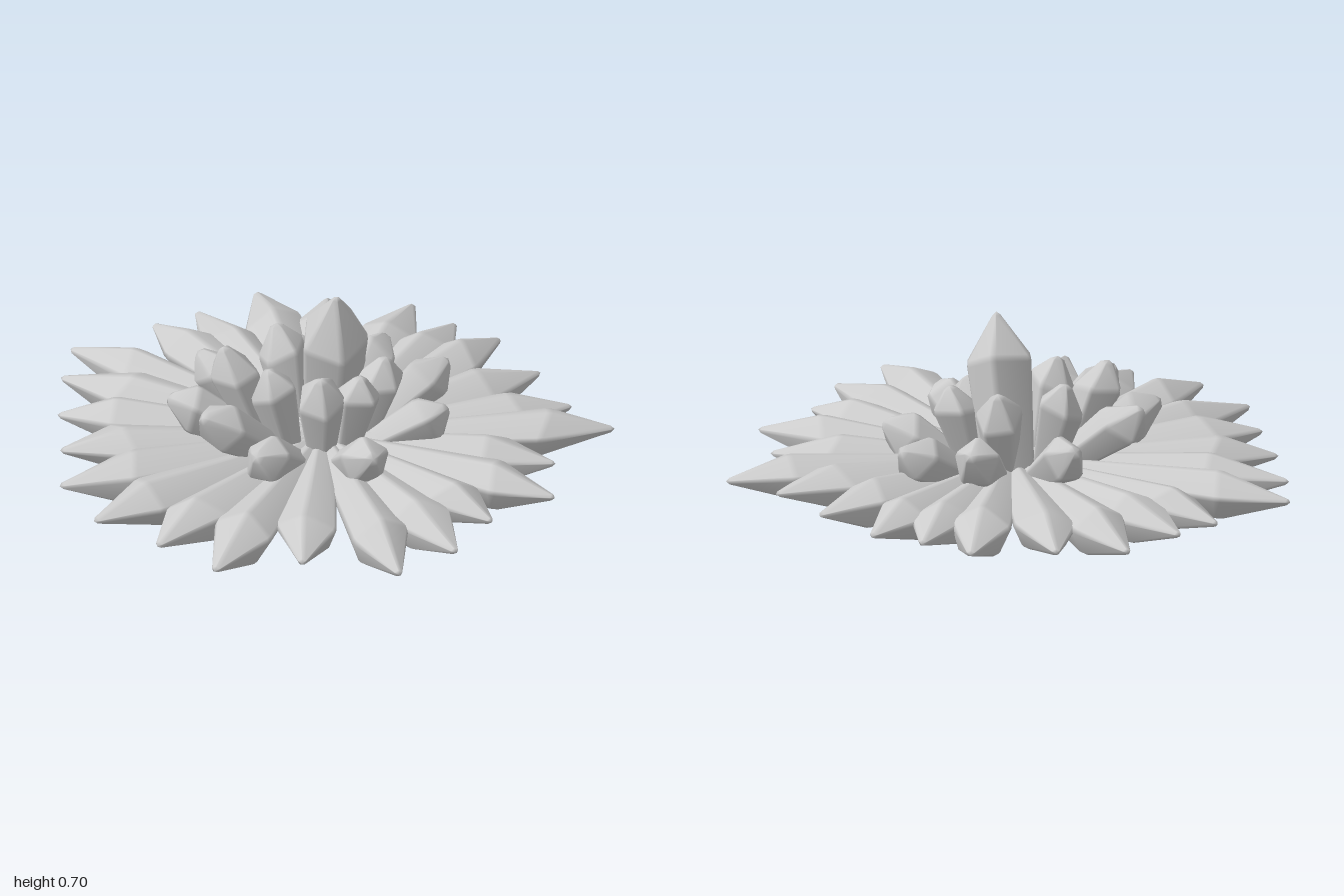
import * as THREE from 'three';
import { mergeVertices } from 'three/addons/utils/BufferGeometryUtils.js';

const material = new THREE.MeshStandardMaterial({ color: 0xcccccc });
const SIDE = Math.PI * 2 / 5;

// Five-sided crystal with softened edges: narrow base, wide slanted shoulder, blunted tip.
// Local y runs along the crystal and one ridge (local z) faces up.
function crystal(name, base, tip, { rBase, rShoulder, shoulder, blunt, slant, phase, roll, wide = 1, flat = 1 }) {
  const from = new THREE.Vector3(...base);
  const axis = new THREE.Vector3(...tip).sub(from);
  const length = axis.length();
  const bevel = 0.012;
  const profile = [
    [0, 0], [rBase * 0.85, 0], [rBase, bevel],
    [rShoulder * 0.98, length * shoulder - bevel], [rShoulder * 0.95, length * shoulder + bevel],
    [rShoulder * blunt, length - bevel], [0, length],
  ].map(([r, y]) => new THREE.Vector2(r, y));
  let geometry = new THREE.LatheGeometry(profile, 10, -SIDE / 4);

  // Squeeze pairs of sides into bevelled corners, and slant the shoulder
  const p = geometry.attributes.position;
  for (let i = 0; i < p.count; i++) {
    const r = Math.hypot(p.getX(i), p.getZ(i));
    const angle = Math.atan2(p.getX(i), p.getZ(i));
    const corner = Math.round(angle / SIDE) * SIDE;
    const a = corner + (angle - corner) * 0.35;
    const ring = i % profile.length;
    const shift = ring === 3 || ring === 4 ? slant * Math.sin(corner + phase) : 0;
    p.setXYZ(i, r * Math.sin(a + roll) * wide, p.getY(i) + shift, r * Math.cos(a + roll) * flat);
  }

  // Share vertices so that the shading runs softly over the bevels
  geometry.deleteAttribute('normal');
  geometry.deleteAttribute('uv');
  geometry = mergeVertices(geometry, 1e-5);

  const y = axis.normalize();
  const x = new THREE.Vector3().crossVectors(y, new THREE.Vector3(0, 1, 0)).normalize();
  const z = new THREE.Vector3().crossVectors(x, y);
  geometry.applyMatrix4(new THREE.Matrix4().makeBasis(x, y, z).setPosition(from));
  geometry.computeVertexNormals();

  const mesh = new THREE.Mesh(geometry, material);
  mesh.name = name;
  return mesh;
}

function ring(name, items, build) {
  const group = new THREE.Group();
  group.name = name;
  items.forEach((item, i) => group.add(build(item, i)));
  return group;
}

export function createModel() {
  const model = new THREE.Group();
  model.name = 'crystalCluster';
  const centreX = -0.05;

  // Flat outer ring: tip x, tip z
  const petalRing = ring('petalRing', [
    [-0.24, -1], [0, -0.95], [0.29, -0.9], [0.43, -0.76], [0.58, -0.65], [0.71, -0.41],
    [0.81, -0.17], [0.95, -0.01], [0.74, 0.23], [0.73, 0.47], [0.51, 0.63], [0.38, 0.84],
    [0.18, 0.99], [-0.15, 0.9], [-0.45, 0.94], [-0.64, 0.76], [-0.85, 0.58], [-0.96, 0.33],
    [-0.95, 0.08], [-0.95, -0.17], [-0.93, -0.43], [-0.89, -0.63], [-0.6, -0.79], [-0.45, -0.87],
  ], ([x, z], i) => crystal('petalCrystal', [centreX, 0.15, 0], [x, 0.17, z], {
    rBase: 0.045, rShoulder: 0.085 + 0.018 * Math.hypot(x, z), shoulder: 0.75, blunt: 0.13,
    slant: 0.035, phase: i * 2.1, roll: 0.15 * Math.sin(i * 3.1), wide: 1.08, flat: 0.82,
  }));

  // Raised middle ring: tip x, y, z
  const middleRing = ring('middleRing', [
    [-0.18, 0.34, -0.44], [0.18, 0.34, -0.4], [0.39, 0.32, -0.25], [0.38, 0.31, 0.08],
    [0.11, 0.31, 0.43], [-0.29, 0.32, 0.42], [-0.47, 0.39, 0.26], [-0.58, 0.34, 0.02],
    [-0.47, 0.39, -0.21],
  ], ([x, y, z], i) => crystal('middleCrystal', [centreX + (x - centreX) * 0.15, 0.08, z * 0.15], [x, y, z], {
    rBase: 0.035, rShoulder: 0.085, shoulder: 0.8, blunt: 0.3,
    slant: 0.025, phase: i * 2.1, roll: 0.3 * Math.sin(i * 3.1),
  }));

  // Steep inner ring: tip x, y, z
  const innerRing = ring('innerRing', [
    [-0.2, 0.5, -0.2], [0.04, 0.48, -0.2], [0.17, 0.46, -0.02], [0.08, 0.45, 0.1],
    [-0.06, 0.47, 0.15], [-0.24, 0.49, 0.11], [-0.39, 0.51, -0.02],
  ], ([x, y, z], i) => crystal('innerCrystal', [centreX + (x - centreX) * 0.45, 0.02, z * 0.45], [x, y, z], {
    rBase: 0.03, rShoulder: 0.083, shoulder: 0.8, blunt: 0.3,
    slant: 0.025, phase: i * 1.9, roll: 0.4 * Math.sin(i * 2.7),
  }));

  // Tall central crystal
  const centre = crystal('centralCrystal', [-0.03, 0.05, -0.12], [0, 0.71, 0], {
    rBase: 0.085, rShoulder: 0.118, shoulder: 0.74, blunt: 0.13,
    slant: 0.035, phase: 2.6, roll: 0.6,
  });

  model.add(petalRing, middleRing, innerRing, centre);

  // Rest the lowest point on the ground
  model.position.y = -new THREE.Box3().setFromObject(model).min.y;
  return model;
}
